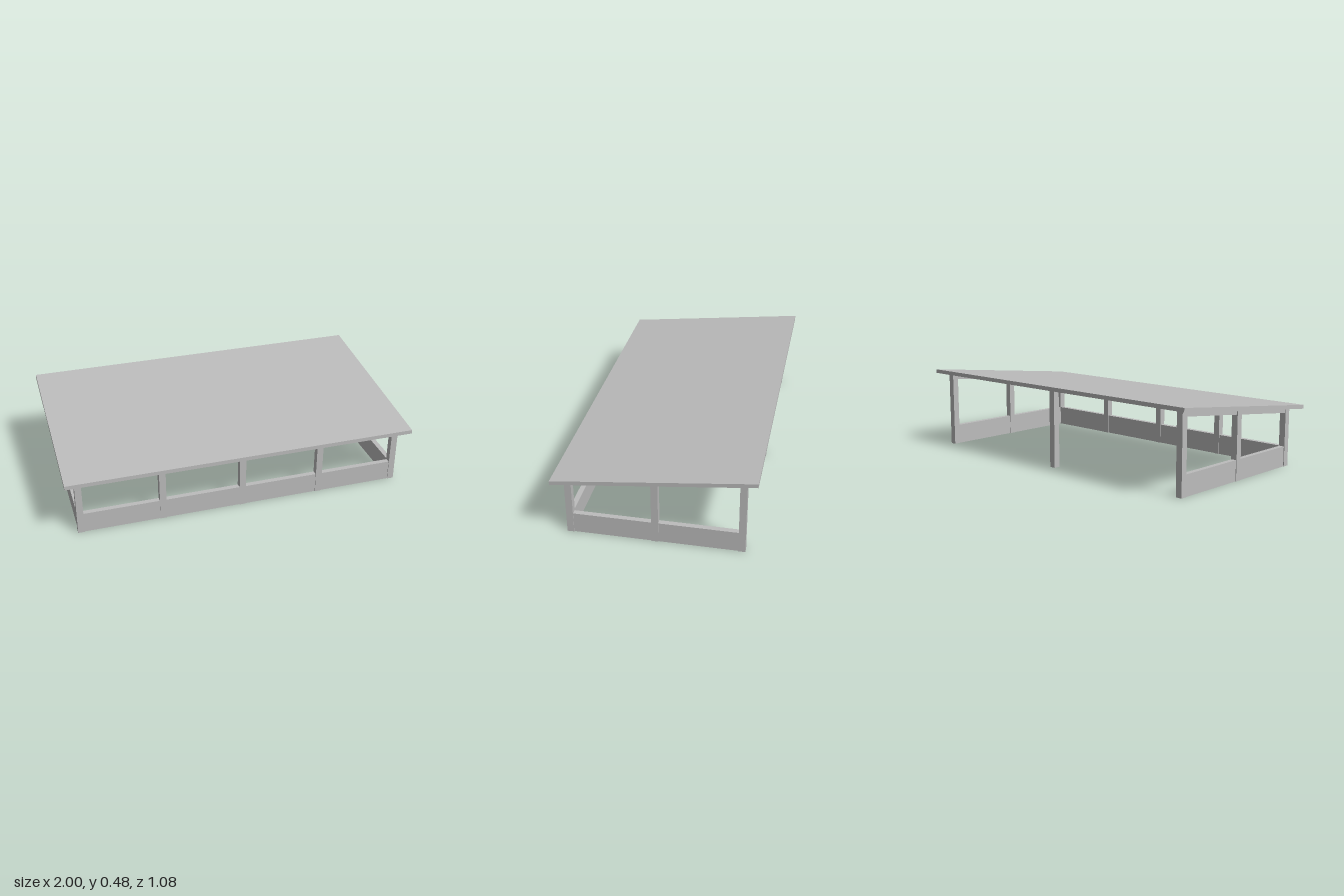
import * as THREE from 'three';

// Height of the sloping roof underside at depth z
const eave = (z) => 0.3915 - 0.1135 * z;

export function createModel() {
  const model = new THREE.Group();
  model.name = 'openShed';
  const grey = new THREE.MeshStandardMaterial({ color: 0xbcbcbc });
  grey.name = 'plain grey';

  // Block whose bottom and top heights follow functions of z
  function block(name, x, z, width, depth, bottom, top) {
    const geo = new THREE.BoxGeometry(width, 1, depth).translate(x, 0, z);
    const p = geo.attributes.position;
    for (let i = 0; i < p.count; i++) {
      p.setY(i, (p.getY(i) < 0 ? bottom : top)(p.getZ(i)));
    }
    geo.computeVertexNormals();
    const mesh = new THREE.Mesh(geo, grey);
    mesh.name = name;
    model.add(mesh);
  }

  const ground = () => 0;
  const sill = () => 0.117;
  const post = 0.037, panel = 0.029;
  const px = 0.925, pz = 0.4615;

  // Sloping roof slab
  block('roof', 0, 0, 2, 1.078, eave, (z) => eave(z) + 0.0225);

  // Front posts, with low wall and head beam between them
  const bay = px / 2;
  for (let i = -2; i <= 2; i++) {
    block('frontPost', i * bay, pz, post, post, ground, eave);
    if (i === 2) continue;
    const x = (i + 0.5) * bay, w = bay - post;
    block('frontWall', x, pz, w, panel, ground, sill);
    block('frontBeam', x, pz, w, panel, () => 0.315, eave);
  }

  // Both ends: middle and back posts, low walls and sloping beams
  for (const side of [-1, 1]) {
    const x = side * px;
    block('endPost', x, 0, post, post, ground, eave);
    block('backCornerPost', x, -pz, post, post, ground, eave);
    for (const z of [-pz / 2, pz / 2]) {
      const d = pz - post;
      block('endWall', x, z, panel, d, ground, sill);
      block('endBeam', x, z, panel, d, (zz) => eave(zz) - 0.03, eave);
    }
  }

  // Single post in the open back
  block('backPost', 0, -pz, post, post, ground, eave);

  return model;
}
